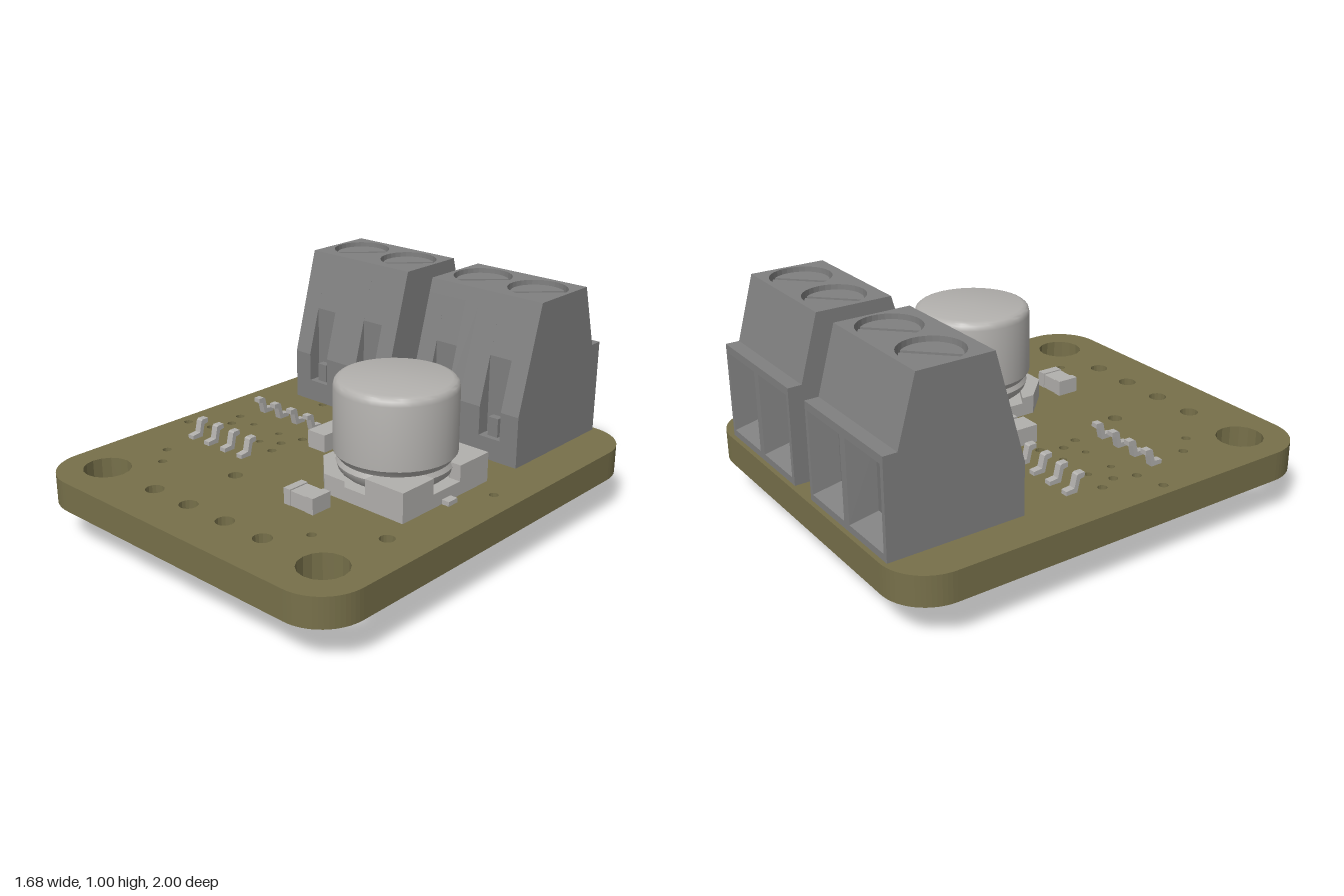
import * as THREE from 'three';
import { toCreasedNormals } from 'three/addons/utils/BufferGeometryUtils.js';

const mat = (name, color, side = THREE.FrontSide) => {
  const m = new THREE.MeshStandardMaterial({ color, side });
  m.name = name;
  return m;
};

const polygon = pts => new THREE.Shape(pts.map(p => new THREE.Vector2(p[0], p[1])));
const flat = (shape, depth, curveSegments = 12) =>
  new THREE.ExtrudeGeometry(shape, { depth, bevelEnabled: false, curveSegments });

// Plan outline given as (x, z), extruded downward from y = top
const plan = (shape, top, depth, seg) => flat(shape, depth, seg).rotateX(Math.PI / 2).translate(0, top, 0);
// Side profile given as (z, y), extruded between two x positions
const side = (pts, x0, x1) => flat(polygon(pts), x1 - x0).rotateY(-Math.PI / 2).translate(x1, 0, 0);

const punch = (shape, x, z, r) => {
  const hole = new THREE.Path();
  hole.absarc(x, z, r, 0, Math.PI * 2, true);
  shape.holes.push(hole);
};

export function createModel() {
  const root = new THREE.Group();
  root.name = 'circuitBoardModule';
  const olive = mat('boardOlive', 0x77704a);
  const grey = mat('terminalGrey', 0x808080, THREE.DoubleSide);
  const silver = mat('componentSilver', 0xb2b0ad);

  const add = (parent, name, geometry, material) => {
    const mesh = new THREE.Mesh(geometry, material);
    mesh.name = name;
    parent.add(mesh);
    return mesh;
  };
  const box = (parent, name, x0, x1, y0, y1, z0, z1, material) =>
    add(parent, name, new THREE.BoxGeometry(x1 - x0, y1 - y0, z1 - z0)
      .translate((x0 + x1) / 2, (y0 + y1) / 2, (z0 + z1) / 2), material);

  // Board with rounded corners and drilled holes
  const W = 0.84, R = 0.2, board = new THREE.Shape();
  board.absarc(W - R, 1 - R, R, 0, Math.PI / 2);
  board.absarc(-W + R, 1 - R, R, Math.PI / 2, Math.PI);
  board.absarc(-W + R, -1 + R, R, Math.PI, Math.PI * 1.5);
  board.absarc(W - R, -1 + R, R, Math.PI * 1.5, Math.PI * 2);
  for (const x of [-0.635, 0.63]) punch(board, x, 0.785, 0.103);
  for (const x of [-0.32, -0.11, 0.105, 0.315]) punch(board, x, 0.785, 0.04);
  for (const x of [-0.18, 0.66]) punch(board, x, 0.47, 0.032);
  const vias = [
    [0.725, -0.11], [-0.475, -0.365], [-0.78, 0.215], [-0.6, 0.49], [-0.515, 0.585], [0.43, 0.64],
    [-0.655, 0.005], [-0.245, 0.005], [-0.62, 0.09], [-0.285, 0.1], [-0.655, 0.185], [-0.255, 0.185],
    [-0.535, 0.03], [-0.37, 0.03], [-0.535, 0.15], [-0.37, 0.15],
  ];
  vias.forEach(([x, z], i) => punch(board, x, z, i < 12 ? 0.02 : 0.016));
  add(root, 'board', plan(board, 0.3, 0.13, 8), olive);

  // Terminal blocks: slabs side by side, with wire openings behind and slots in front
  const capY = 0.94;
  const profile = (slot, cavity) => [
    [-0.38, 0.3],
    ...(slot ? [[-0.38, 0.4], [-0.44, 0.4], [-0.44, 0.747]] : [[-0.38, 0.53]]),
    [-0.493, capY], [-0.857, capY], [-0.92, 0.72], [-0.98, 0.72],
    ...(cavity ? [[-0.98, 0.685], [-0.7, 0.685], [-0.7, 0.33], [-0.98, 0.33]] : []),
    [-0.98, 0.3],
  ];

  const terminal = mid => {
    const g = new THREE.Group();
    g.name = 'terminalBlock';
    g.position.x = mid;
    root.add(g);
    const centres = [-0.145, 0.145];

    for (const [x0, x1] of [[-0.29, -0.27], [-0.02, 0.02], [0.27, 0.29]])
      add(g, 'housingWall', side(profile(false, false), x0, x1), grey);

    // Sloped cap with the screw wells
    const top = polygon([[-0.29, -0.84], [0.29, -0.84], [0.29, -0.51], [-0.29, -0.51]]);
    for (const c of centres) punch(top, c, -0.685, 0.13);
    const cap = plan(top, 1, 1 - capY, 16);
    const p = cap.attributes.position;
    for (let i = 0; i < p.count; i++) {
      if (p.getY(i) > 0.97) continue;
      if (p.getZ(i) > -0.52) p.setZ(i, -0.493);
      if (p.getZ(i) < -0.83) p.setZ(i, -0.857);
    }
    cap.computeVertexNormals();
    add(g, 'housingCap', cap, grey);

    for (const c of centres) {
      add(g, 'housingBay', side(profile(false, true), c - 0.125, c - 0.055), grey);
      add(g, 'housingSlotBay', side(profile(true, true), c - 0.055, c + 0.055), grey);
      add(g, 'housingBay', side(profile(false, true), c + 0.055, c + 0.125), grey);
      box(g, 'slotTab', c - 0.025, c + 0.025, 0.4, 0.485, -0.44, -0.405, grey);

      // Tapered wire entry
      const funnel = new THREE.CylinderGeometry(0.78 * Math.SQRT2, Math.SQRT2, 0.11, 4, 1, true)
        .toNonIndexed().rotateY(Math.PI / 4).rotateX(Math.PI / 2).scale(0.125, 0.1775, 1);
      funnel.computeVertexNormals();
      funnel.translate(c, 0.5075, -0.925);
      add(g, 'wireFunnel', funnel, grey);

      // Slotted screw: two half discs on a diagonal
      for (const turn of [0, Math.PI]) {
        const half = new THREE.Shape();
        half.absarc(0, 0, 0.117, 0.09, Math.PI - 0.09);
        const geo = plan(half, 0.982, 0.042, 14).rotateY(Math.PI / 4 + turn).translate(c, 0, -0.685);
        add(g, 'screwHalf', geo, grey);
      }

      // Solder pin with a tapered tip
      const pin = polygon([[-0.035, 0.3], [-0.035, 0.065], [-0.012, 0], [0.012, 0], [0.035, 0.065], [0.035, 0.3]]);
      add(g, 'solderPin', flat(pin, 0.05).translate(c, 0, -0.705), grey);
    }
  };
  terminal(-0.37);
  terminal(0.35);

  // Round capacitor on its moulded base
  const capacitor = new THREE.Group();
  capacitor.name = 'capacitor';
  root.add(capacitor);
  const base = polygon([[0.19, -0.2], [0.625, -0.2], [0.625, 0.34], [0.21, 0.34], [0.08, 0.21], [0.08, -0.09]]);
  add(capacitor, 'capacitorBase', plan(base, 0.36, 0.06), silver);
  const post = [[0.43, 0.27], [0.625, 0.27], [0.625, 0.085], [0.57, 0.085], [0.43, 0.2]];
  for (const s of [1, -1]) {
    const pts = post.map(([x, z]) => [x, 0.07 + s * z]);
    add(capacitor, 'basePost', plan(polygon(pts), 0.43, 0.1), silver);
    const low = [[0.21, 0.27], [0.32, 0.27], [0.2, 0.15], [0.08, 0.08], [0.08, 0.14]].map(([x, z]) => [x, 0.07 + s * z]);
    add(capacitor, 'lowBasePost', plan(polygon(low), 0.385, 0.06), silver);
  }
  const can = [
    [0, 0.35], [0.2, 0.35], [0.235, 0.38], [0.245, 0.41], [0.235, 0.43], [0.245, 0.445], [0.257, 0.46],
    [0.257, 0.73], [0.252, 0.75], [0.242, 0.76], [0.225, 0.766], [0, 0.766],
  ].map(([r, y]) => new THREE.Vector2(r, y));
  const canGeo = toCreasedNormals(new THREE.LatheGeometry(can, 40), 0.6).translate(0.355, 0, 0.07);
  add(capacitor, 'capacitorCan', canGeo, silver);
  box(capacitor, 'leftLead', 0.05, 0.2, 0.3, 0.32, 0.045, 0.1, silver);
  box(capacitor, 'rightLead', 0.5, 0.66, 0.3, 0.32, 0.045, 0.1, silver);

  // Small surface-mounted parts
  box(root, 'smallBlock', -0.17, -0.07, 0.3, 0.38, -0.12, 0.045, silver);
  box(root, 'chipBody', 0.19, 0.285, 0.3, 0.365, 0.423, 0.517, silver);
  box(root, 'chipEnd', 0.16, 0.195, 0.3, 0.37, 0.42, 0.52, silver);
  box(root, 'chipEnd', 0.28, 0.32, 0.3, 0.37, 0.42, 0.52, silver);

  // Two rows of bent leads
  const lead = [
    [0.25, 0.38], [0.25, 0.36], [0.272, 0.355], [0.285, 0.3], [0.34, 0.3],
    [0.34, 0.318], [0.3, 0.322], [0.288, 0.375], [0.28, 0.38],
  ];
  for (let i = 0; i < 4; i++) {
    const x = -0.615 + i * 0.105;
    for (const s of [1, -1]) {
      const pts = lead.map(([z, y]) => [s > 0 ? z : 0.183 - z, y]);
      add(root, 'bentLead', side(pts, x - 0.016, x + 0.016), silver);
    }
  }
  return root;
}
